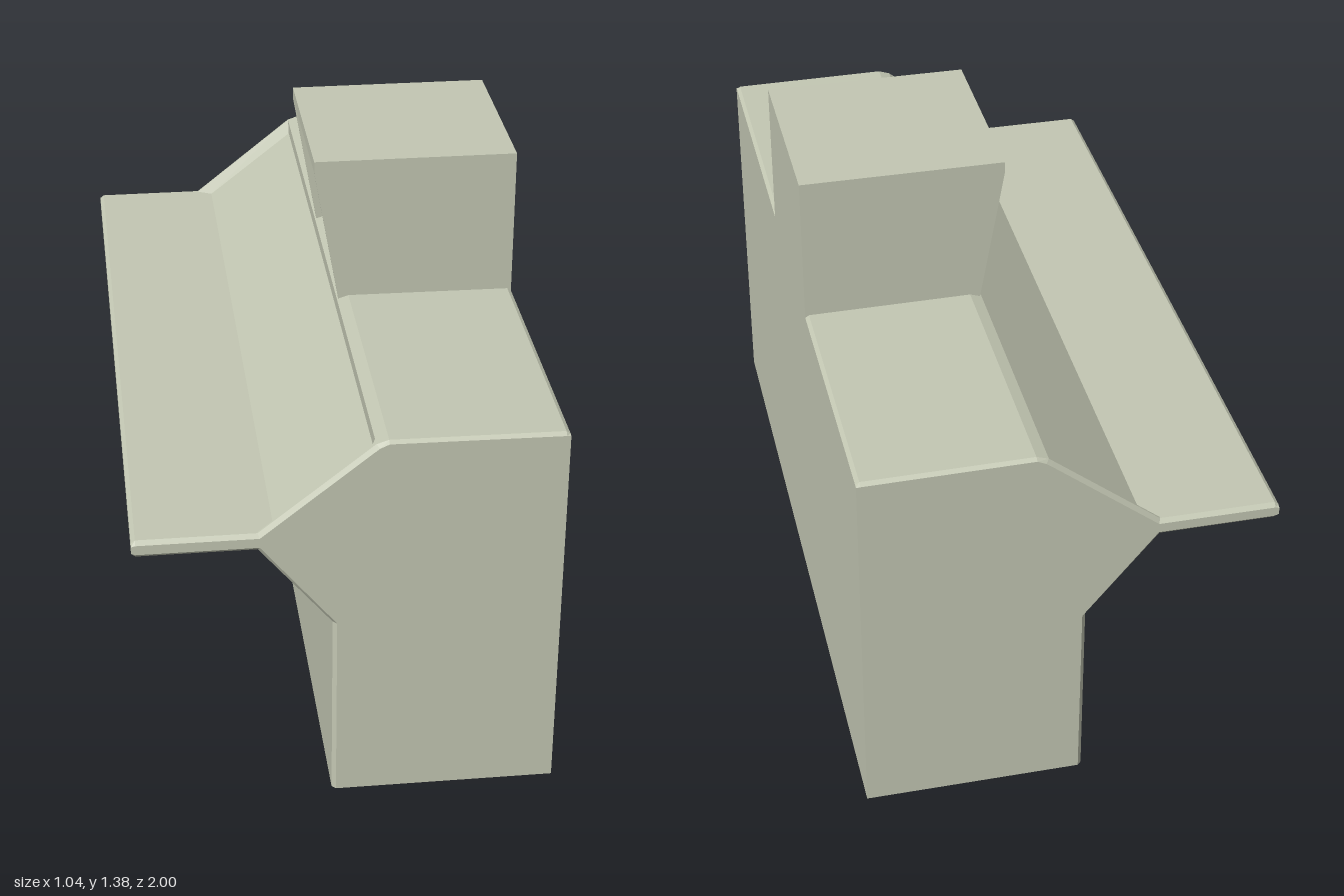
import * as THREE from 'three';

const material = new THREE.MeshStandardMaterial({ color: 0xc3c7b3, flatShading: true });

// Joins counter-clockwise outlines placed along z into one closed solid
function loft(sections) {
  const pos = [];
  const put = (p, z) => pos.push(p[0], p[1], z);
  for (let s = 0; s < sections.length - 1; s++) {
    const a = sections[s], b = sections[s + 1], n = a.pts.length;
    for (let i = 0; i < n; i++) {
      const j = (i + 1) % n;
      put(a.pts[i], a.z); put(a.pts[j], a.z); put(b.pts[j], b.z);
      put(a.pts[i], a.z); put(b.pts[j], b.z); put(b.pts[i], b.z);
    }
  }
  const cap = ({ z, pts }, flip) => {
    const contour = pts.map(p => new THREE.Vector2(p[0], p[1]));
    for (const tri of THREE.ShapeUtils.triangulateShape(contour, [])) {
      for (const i of flip ? [...tri].reverse() : tri) put(pts[i], z);
    }
  };
  cap(sections[0], true);
  cap(sections[sections.length - 1], false);
  const g = new THREE.BufferGeometry();
  g.setAttribute('position', new THREE.Float32BufferAttribute(pos, 3));
  g.computeVertexNormals();
  return g;
}

function addPart(group, name, geometry) {
  const mesh = new THREE.Mesh(geometry, material);
  mesh.name = name;
  group.add(mesh);
}

// Slab of a front outline between two z positions
function slab(pts, z0, z1) {
  return loft([{ z: z0, pts }, { z: z1, pts }]);
}

export function createModel() {
  const group = new THREE.Group();
  group.name = 'block';

  // Body outline: base, back wall, roof, slope, overhanging ledge, underside
  const rim = [
    [-0.04, 0], [0.52, 0], [0.52, 0.99], [0.51, 0.997], [0.09, 1], [0.06, 0.99],
    [0.05, 0.982], [-0.22, 0.765], [-0.51, 0.765], [-0.52, 0.757],
    [-0.52, 0.728], [-0.51, 0.72], [-0.22, 0.72], [-0.04, 0.5],
  ];
  // Slightly smaller outline for the chamfered ends
  const end = [
    [-0.03, 0], [0.52, 0], [0.52, 0.988], [0.51, 0.989], [0.09, 0.993], [0.068, 0.983],
    [0.055, 0.973], [-0.216, 0.755], [-0.51, 0.755], [-0.52, 0.752],
    [-0.52, 0.734], [-0.51, 0.73], [-0.216, 0.73], [-0.03, 0.5],
  ];
  // Same outline with the slope sunk into a shallow panel
  const sunk = rim.map(p => [...p]);
  sunk[6] = [0.06, 0.955];
  sunk[7] = [-0.18, 0.765];

  addPart(group, 'body', loft([
    { z: -1, pts: end }, { z: -0.99, pts: rim }, { z: -0.985, pts: rim }, { z: -0.965, pts: sunk },
    { z: 0.965, pts: sunk }, { z: 0.985, pts: rim }, { z: 0.99, pts: rim }, { z: 1, pts: end },
  ]));

  // Tower: upright core, overhanging lid and two slanted cheeks around an open niche
  const zBack = -0.275, zFront = 0.235, wall = 0.01;
  addPart(group, 'towerCore', slab(
    [[0.095, 0.985], [0.52, 0.985], [0.52, 1.38], [0, 1.38], [0, 1.35], [0.095, 1.35]], zBack, zFront));
  const cheek = [[0.065, 0.985], [0.095, 0.985], [0.095, 1.35], [0, 1.35]];
  addPart(group, 'towerCheekBack', slab(cheek, zBack, zBack + wall));
  addPart(group, 'towerCheekFront', slab(cheek, zFront - wall, zFront));

  return group;
}
